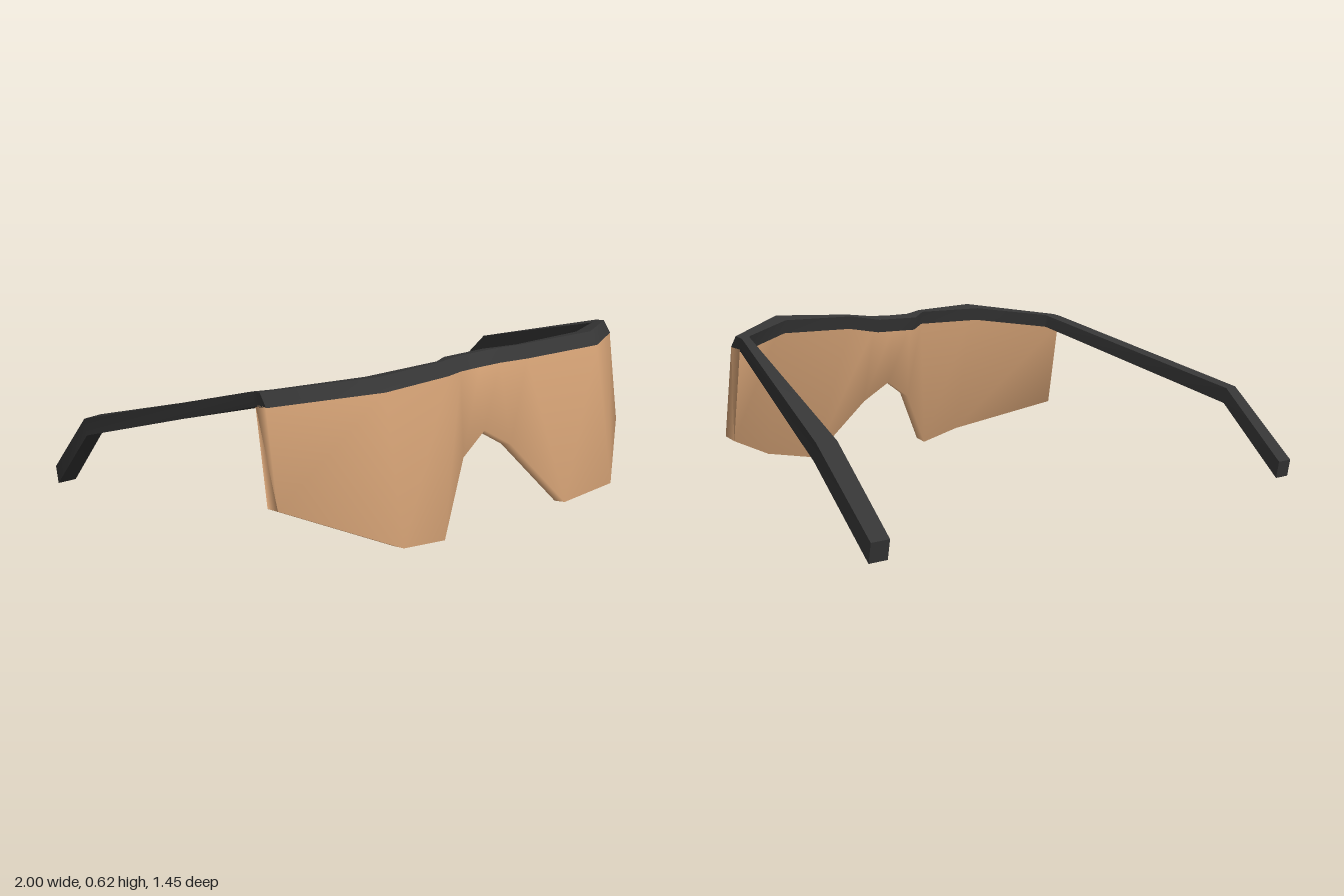
import * as THREE from 'three';
import { toCreasedNormals } from 'three/addons/utils/BufferGeometryUtils.js';

// Joins four-cornered cross-sections (outer top, outer bottom, inner bottom, inner top) into a capped solid.
function loft(sections) {
  const index = [];
  const quad = (a, b, c, d) => index.push(a, b, c, a, c, d);
  for (let i = 0; i < sections.length - 1; i++) {
    for (let k = 0; k < 4; k++) {
      const n = (k + 1) % 4;
      quad(i * 4 + k, i * 4 + 4 + k, i * 4 + 4 + n, i * 4 + n);
    }
  }
  const e = (sections.length - 1) * 4;
  quad(0, 1, 2, 3);
  quad(e + 3, e + 2, e + 1, e);
  const geometry = new THREE.BufferGeometry();
  geometry.setAttribute('position', new THREE.Float32BufferAttribute(sections.flat(2), 3));
  geometry.setIndex(index);
  geometry.computeVertexNormals();
  return geometry;
}

// Extends a half list, ending at the centre, with its mirror image.
function mirrored(half) {
  const other = half.slice(0, -1).reverse().map((s) => s.map(([x, y, z]) => [-x, y, z]));
  return [...half, ...other];
}

export function createModel() {
  const group = new THREE.Group();
  const frameMaterial = new THREE.MeshStandardMaterial({ color: 0x353535 });
  frameMaterial.name = 'charcoal frame';
  const lensMaterial = new THREE.MeshStandardMaterial({ color: 0xd2a074 });
  lensMaterial.name = 'amber lens';

  // Temple arm: outer x, inner x, then outer z, inner z, top y, and the offset to the bottom edge
  const arm = [
    [1, 0.93, -0.725, -0.725, 0.065, 0.012, -0.065],
    [1, 0.93, -0.45, -0.462, 0.322, 0.012, -0.06],
    [0.785, 0.738, 0.33, 0.355, 0.567, 0.01, -0.048],
  ].map(([xo, xi, zo, zi, y, dz, dy]) => [
    [xo, y, zo], [xo, y + dy, zo + dz], [xi, y + dy, zi + dz], [xi, y, zi],
  ]);

  // Brow bar, lying on a tilted plane: outer x, outer z, inner x, inner z
  const browY = (z) => 0.495 + 0.21 * z;
  const brow = [
    [0.785, 0.372, 0.732, 0.363],
    [0.48, 0.588, 0.48, 0.52],
    [0.18, 0.545, 0.18, 0.518],
    [0.09, 0.505, 0.09, 0.45],
    [0, 0.5, 0, 0.45],
  ].map(([xo, zo, xi, zi]) => [
    [xo, browY(zo), zo], [xo, browY(zo) - 0.043, zo + 0.035],
    [xi, browY(zi) - 0.05, zi + 0.01], [xi, browY(zi), zi],
  ]);

  const frame = new THREE.Mesh(toCreasedNormals(loft(mirrored([...arm, ...brow])), 0.8), frameMaterial);
  frame.name = 'frame';
  group.add(frame);

  // Wraparound lens hung under the bar: top x, y, z, bottom x, y, z, thickness
  const lensHalf = [
    [0.785, 0.532, 0.405, 0.785, 0.2, 0.46, 0.06],
    [0.48, 0.576, 0.622, 0.48, 0.08, 0.72, 0.055],
    [0.18, 0.567, 0.578, 0.28, 0.045, 0.688, 0.05],
    [0.09, 0.558, 0.538, 0.11, 0.268, 0.582, 0.05],
    [0, 0.557, 0.533, 0, 0.338, 0.565, 0.05],
  ].map(([xt, yt, zt, xb, yb, zb, t]) => [
    [xt, yt, zt], [xb, yb, zb], [xb, yb - 0.01, zb - t], [xt, yt - 0.005, zt - t],
  ]);
  const lens = new THREE.Mesh(loft(mirrored(lensHalf)), lensMaterial);
  lens.name = 'lens';
  group.add(lens);

  return group;
}
